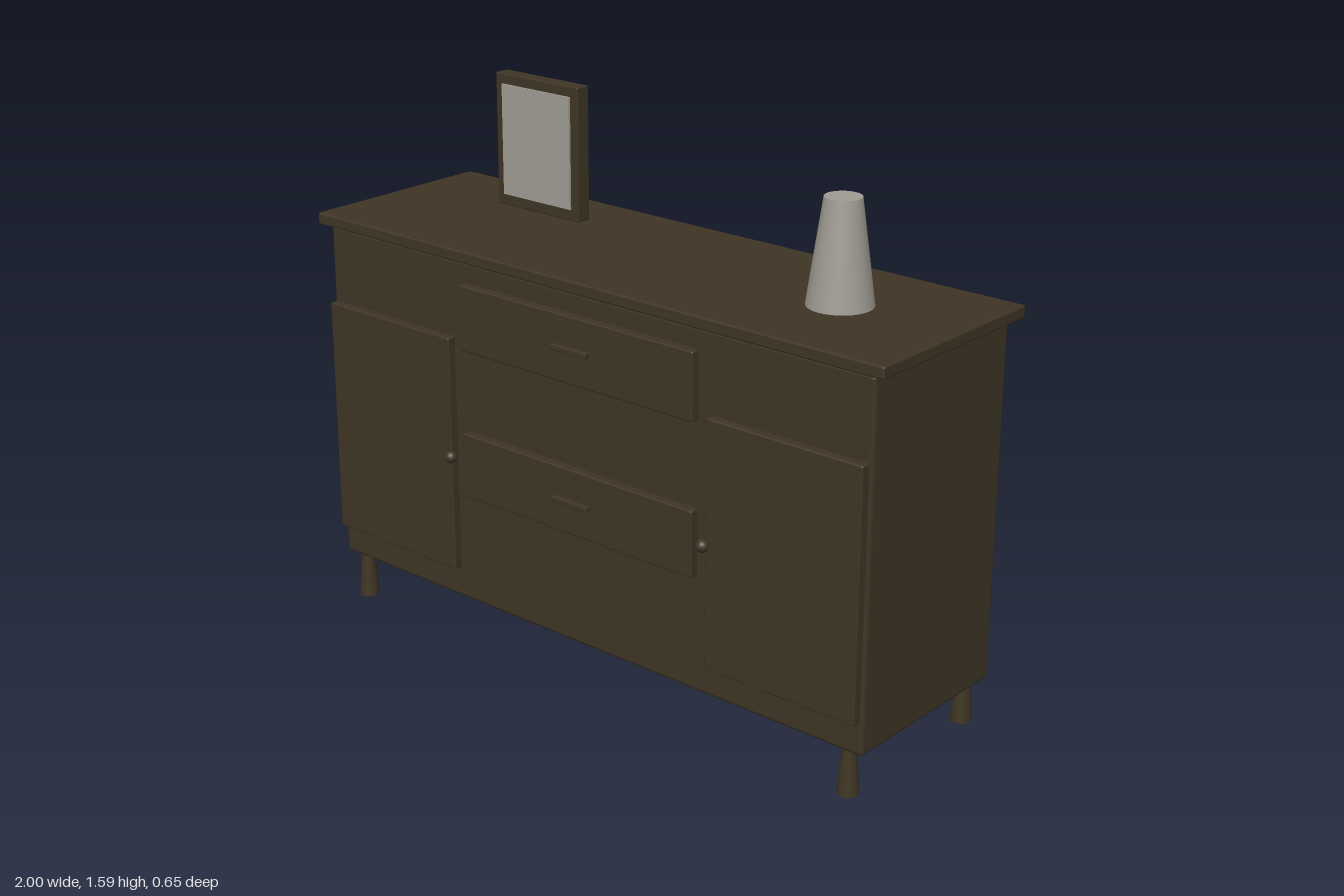
import * as THREE from 'three';
import { RoundedBoxGeometry } from 'three/addons/geometries/RoundedBoxGeometry.js';

export function createModel() {
  const model = new THREE.Group();
  model.name = 'sideboard';

  const mat = (name, hex) => {
    const m = new THREE.MeshStandardMaterial({ color: hex });
    m.name = name;
    return m;
  };
  const wood = mat('dark wood', 0x3f3524);
  const pale = mat('pale grey', 0xa09c94);

  const add = (name, geometry, material, x, y, z) => {
    const mesh = new THREE.Mesh(geometry, material);
    mesh.name = name;
    mesh.position.set(x, y, z);
    model.add(mesh);
    return mesh;
  };
  // Box given by its limits on each axis, with softened edges
  const block = (name, [x0, x1], [y0, y1], [z0, z1], radius, material = wood) =>
    add(name, new RoundedBoxGeometry(x1 - x0, y1 - y0, z1 - z0, 2, radius), material,
      (x0 + x1) / 2, (y0 + y1) / 2, (z0 + z1) / 2);

  // Cabinet and overhanging top
  block('cabinetBody', [-0.965, 0.965], [0.135, 1.165], [-0.305, 0.275], 0.012);
  block('tabletop', [-1, 1], [1.165, 1.2], [-0.325, 0.293], 0.006);

  // Doors with round knobs on their inner edges, and tapered legs
  for (const [side, s] of [['right', -1], ['left', 1]]) {
    const xs = [s * 0.466, s * 0.955].sort((a, b) => a - b);
    block(side + 'Door', xs, [0.23, 0.938], [0.265, 0.301], 0.005);
    add(side + 'DoorKnob', new THREE.SphereGeometry(0.018, 20, 14), wood, s * 0.463, 0.585, 0.307);
    for (const [end, z] of [['Front', 0.245], ['Back', -0.275]]) {
      add(side + end + 'Leg', new THREE.CylinderGeometry(0.019, 0.03, 0.14, 20), wood,
        s * 0.905, 0.07, z);
    }
  }

  // Drawers with slim bar handles
  for (const [name, y0, y1, yHandle] of [['upper', 0.913, 1.105, 1.012], ['lower', 0.475, 0.667, 0.572]]) {
    block(name + 'Drawer', [-0.42, 0.42], [y0, y1], [0.265, 0.301], 0.005);
    block(name + 'DrawerHandle', [-0.064, 0.064], [yHandle - 0.008, yHandle + 0.008], [0.295, 0.316], 0.003);
  }

  // Picture frame standing on the top, with a thin picture plate
  block('pictureFrame', [-0.676, -0.358], [1.2, 1.59], [-0.169, -0.122], 0.004);
  add('picture', new THREE.BoxGeometry(0.262, 0.326, 0.008), pale, -0.517, 1.397, -0.12);

  // Tapered vase
  add('vase', new THREE.CylinderGeometry(0.05, 0.09, 0.285, 24), pale, 0.642, 1.3425, -0.017);

  return model;
}
